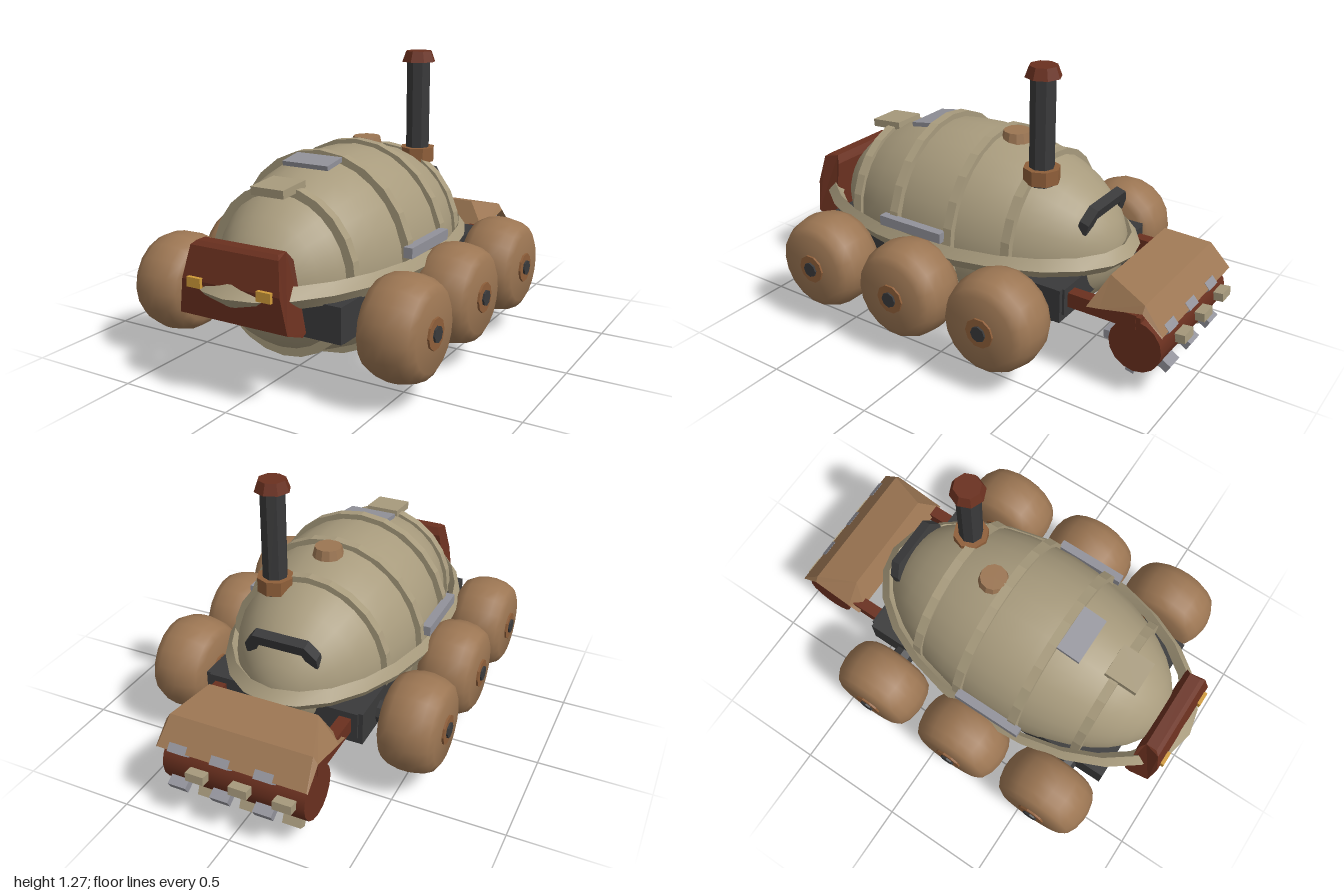
import * as THREE from 'three';
import { toCreasedNormals } from 'three/addons/utils/BufferGeometryUtils.js';

const mat = (name, color, extra = {}) => {
  const m = new THREE.MeshStandardMaterial({ color, ...extra });
  m.name = name;
  return m;
};

export function createModel() {
  const model = new THREE.Group();
  model.name = 'sixWheeledVehicle';
  const sand = mat('sand', 0xa89b7d);
  const tan = mat('tan', 0x9c7653);
  const tanSheet = mat('tanSheet', 0x9c7653, { side: THREE.DoubleSide });
  const rust = mat('rust', 0x8f5f3a);
  const red = mat('redBrown', 0x6a301f);
  const dark = mat('darkMetal', 0x3a3a3b);
  const grey = mat('greyMetal', 0x92929a);
  const gold = mat('lampGold', 0xd09a38);

  const add = (name, geo, material, x = 0, y = 0, z = 0, parent = model) => {
    const mesh = new THREE.Mesh(geo, material);
    mesh.name = name;
    mesh.position.set(x, y, z);
    parent.add(mesh);
    return mesh;
  };
  const box = (w, h, d) => new THREE.BoxGeometry(w, h, d);
  const cyl = (rt, rb, h, n) => toCreasedNormals(new THREE.CylinderGeometry(rt, rb, h, n), 0.5);
  // cylinder lying along x
  const axial = (r, len, n) => cyl(r, r, len, n).rotateZ(-Math.PI / 2);

  // Egg-shaped hull
  const hull = new THREE.SphereGeometry(1, 28, 20).rotateX(Math.PI / 2).scale(0.415, 0.435, 0.73);
  add('hull', hull, sand, 0, 0.455, 0.13);

  // Upright bands around the hull
  for (const [z, r] of [[0.595, 0.36], [0.305, 0.45], [0.01, 0.45], [-0.247, 0.39]]) {
    const band = toCreasedNormals(new THREE.CylinderGeometry(r, r, 0.042, 24), 0.2);
    add('hullBand', band.rotateX(Math.PI / 2).scale(0.965, 1, 1), sand, 0, 0.455, z);
  }

  // Level belt with a diamond section
  const belt = new THREE.TorusGeometry(1, 0.055, 4, 24).rotateX(Math.PI / 2).scale(0.45, 0.82, 0.782);
  add('belt', toCreasedNormals(belt, 0.5), sand, 0, 0.458, 0.167);

  // Chassis
  for (const s of [-1, 1]) {
    add('chassisRail', box(0.2, 0.15, 1.28), dark, s * 0.27, 0.345, 0.12);
    add('chassisFoot', box(0.18, 0.04, 1.2), dark, s * 0.27, 0.28, 0.12);
  }
  add('rearCrossbar', box(0.7, 0.12, 0.2), dark, 0, 0.36, -0.43);

  // Six barrel-shaped wheels with hubs
  const profile = [[0, -0.125], [0.155, -0.125], [0.185, -0.108], [0.205, -0.07], [0.215, -0.02],
    [0.215, 0.02], [0.205, 0.07], [0.185, 0.108], [0.155, 0.125], [0, 0.125]]
    .map(([r, y]) => new THREE.Vector2(r, y));
  const tyre = toCreasedNormals(new THREE.LatheGeometry(profile, 18).rotateZ(-Math.PI / 2), 0.62);
  for (const z of [0.58, 0.125, -0.335]) {
    for (const s of [-1, 1]) {
      const wheel = new THREE.Group();
      wheel.name = 'wheel';
      wheel.position.set(s * 0.545, 0.317, z);
      model.add(wheel);
      add('tyre', tyre, tan, 0, 0, 0, wheel);
      add('hub', axial(0.065, 0.268, 10), rust, 0, 0, 0, wheel);
      add('axleTip', axial(0.034, 0.285, 8), dark, 0, 0, 0, wheel);
      add('axle', axial(0.052, 0.25, 8), dark, s * -0.24, 0.005, 0, wheel);
    }
  }

  // Front shield: side profile swept across, narrowing to the top
  const side = new THREE.Shape([[0.825, 0.32], [0.85, 0.31], [0.94, 0.345], [0.95, 0.49],
    [0.92, 0.62], [0.9, 0.635], [0.85, 0.635], [0.83, 0.6]].map(([z, y]) => new THREE.Vector2(z, y)));
  const shield = new THREE.ExtrudeGeometry(side, { depth: 2, bevelEnabled: false });
  shield.translate(0, 0, -1).rotateY(-Math.PI / 2);
  const sp = shield.attributes.position;
  for (let i = 0; i < sp.count; i++) {
    const y = sp.getY(i);
    const half = y > 0.63 ? 0.19 : 0.258 - (y - 0.31) * 0.17;
    sp.setX(i, sp.getX(i) * half);
  }
  shield.computeVertexNormals();
  add('frontShield', shield, red);
  for (const s of [-1, 1]) add('headlamp', box(0.065, 0.04, 0.04), gold, s * 0.163, 0.485, 0.943);

  // Roof fittings
  add('frontHatch', box(0.155, 0.035, 0.155), sand, 0, 0.807, 0.625).rotation.x = 0.08;
  add('roofPanel', box(0.22, 0.02, 0.115), grey, 0, 0.867, 0.38).rotation.x = 0.16;
  add('roofCap', cyl(0.06, 0.07, 0.045, 12), tan, 0, 0.882, -0.065);
  for (const s of [-1, 1]) add('sidePanel', box(0.04, 0.045, 0.33), grey, s * 0.435, 0.533, 0.19);

  // Chimney
  add('chimneyBase', cyl(0.08, 0.08, 0.065, 8), rust, 0.145, 0.802, -0.285);
  add('chimneyPipe', cyl(0.055, 0.055, 0.49, 8), dark, 0.145, 1.0, -0.285);
  add('chimneyCap', cyl(0.06, 0.078, 0.048, 8), red, 0.145, 1.25, -0.285);

  // Arched rear vent
  const arch = new THREE.Shape([[-0.165, -0.06], [-0.125, -0.06], [-0.1, 0], [0.1, 0], [0.125, -0.06],
    [0.165, -0.06], [0.165, -0.01], [0.12, 0.05], [-0.12, 0.05], [-0.165, -0.01]]
    .map(([x, y]) => new THREE.Vector2(x, y)));
  const vent = new THREE.ExtrudeGeometry(arch, { depth: 0.045, bevelEnabled: false }).translate(0, 0, -0.0225);
  add('rearVent', vent, dark, 0, 0.645, -0.51).rotation.x = -0.3;

  // Rear tool: arms, hood, toothed drum
  for (const s of [-1, 1]) {
    add('toolArm', box(0.055, 0.065, 0.36), red, s * 0.295, 0.36, -0.66);
    add('drumHanger', box(0.03, 0.15, 0.06), red, s * 0.305, 0.31, -0.83);
  }
  // rows of the hood: z, ridge y, ridge half width, skirt y
  const rows = [[-0.625, 0.37, 0.3, 0.37], [-0.685, 0.495, 0.25, 0.38],
    [-0.875, 0.45, 0.32, 0.42], [-0.965, 0.345, 0.335, 0.34]];
  const pts = [], idx = [];
  rows.forEach(([z, y, h, skirt], r) => {
    pts.push(-0.34, skirt, z, -h, y, z, h, y, z, 0.34, skirt, z);
    if (r === rows.length - 1) return;
    for (let c = 0; c < 3; c++) {
      const a = r * 4 + c;
      idx.push(a, a + 1, a + 4, a + 1, a + 5, a + 4);
    }
  });
  let hood = new THREE.BufferGeometry();
  hood.setAttribute('position', new THREE.Float32BufferAttribute(pts, 3));
  hood.setIndex(idx);
  hood = hood.toNonIndexed();
  hood.computeVertexNormals();
  add('toolHood', hood, tanSheet);

  const drum = new THREE.Group();
  drum.name = 'toothedDrum';
  drum.position.set(0, 0.25, -0.84);
  model.add(drum);
  add('drum', axial(0.117, 0.64, 16), red, 0, 0, 0, drum);
  for (let i = 0; i < 10; i++) {
    const a = (i / 10) * Math.PI * 2 + 0.1;
    for (let k = -1; k <= 1; k++) {
      const x = k * 0.195 + (i % 2 ? 0.048 : -0.048);
      const tooth = add('tooth', box(0.083, 0.038, 0.06), i % 2 ? grey : sand,
        x, Math.sin(a) * 0.128, -Math.cos(a) * 0.128, drum);
      tooth.rotation.x = a;
    }
  }
  return model;
}
